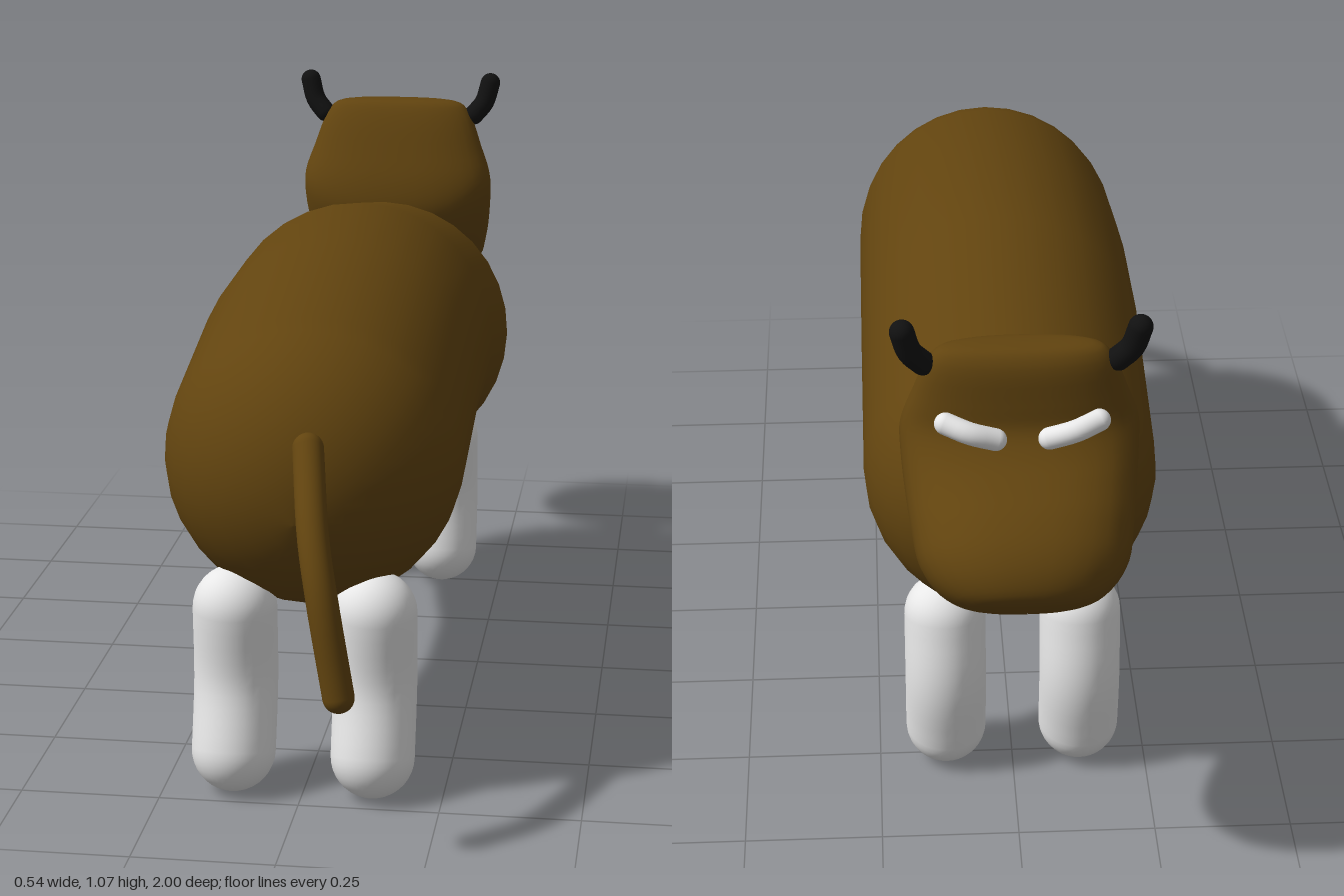
import * as THREE from 'three';

const SIDES = 32;
const V = (x, y, z) => new THREE.Vector3(x, y, z);

// Skin a list of rings {c, u, v}, optionally squared off by a power below 1
function loft(rings, power = 1) {
  const pos = [], index = [];
  const soft = (n) => Math.sign(n) * Math.pow(Math.abs(n), power);
  rings.forEach(({ c, u, v }, r) => {
    for (let i = 0; i < SIDES; i++) {
      const a = (i / SIDES) * Math.PI * 2;
      const p = c.clone().addScaledVector(u, soft(Math.cos(a))).addScaledVector(v, soft(Math.sin(a)));
      pos.push(p.x, p.y, p.z);
      if (r === rings.length - 1) continue;
      const j = (i + 1) % SIDES, lo = r * SIDES, hi = lo + SIDES;
      index.push(lo + i, lo + j, hi + j, lo + i, hi + j, hi + i);
    }
  });
  const g = new THREE.BufferGeometry();
  g.setAttribute('position', new THREE.Float32BufferAttribute(pos, 3));
  g.setIndex(index);
  g.computeVertexNormals();
  return g;
}

// Bent capsule: round ends, running through the given points
function bentCapsule(points, radius, ref = V(1, 0, 0), samples = 0) {
  const pts = samples ? new THREE.CatmullRomCurve3(points).getPoints(samples) : points;
  const n = pts.length - 1, rings = [];
  const tangent = (i) => pts[Math.min(i + 1, n)].clone().sub(pts[Math.max(i - 1, 0)]).normalize();
  const add = (c, t, r) => {
    const u = ref.clone().cross(t).normalize();
    const v = t.clone().cross(u);
    rings.push({ c, u: u.multiplyScalar(r), v: v.multiplyScalar(r) });
  };
  const steps = 9;
  const cap = (p, t, sign, k) => {
    const a = (k / steps) * Math.PI / 2;
    add(p.clone().addScaledVector(t, sign * radius * Math.cos(a)), t, Math.max(radius * Math.sin(a), 1e-4));
  };
  for (let k = 0; k < steps; k++) cap(pts[0], tangent(0), -1, k);
  pts.forEach((p, i) => add(p.clone(), tangent(i), radius));
  for (let k = steps - 1; k >= 0; k--) cap(pts[n], tangent(n), 1, k);
  return loft(rings);
}

export function createModel() {
  const model = new THREE.Group();
  model.name = 'cow';
  const material = (name, color) => {
    const m = new THREE.MeshStandardMaterial({ color });
    m.name = name;
    return m;
  };
  const brown = material('brown hide', 0x62440f);
  const white = material('white', 0xf4f4f4);
  const black = material('black horn', 0x111111);
  const add = (name, geometry, mat, parent = model) => {
    const mesh = new THREE.Mesh(geometry, mat);
    mesh.name = name;
    parent.add(mesh);
  };

  // Arched body
  add('body', bentCapsule([
    V(0, 0.585, 0.53), V(0, 0.648, 0.22), V(0, 0.653, -0.04), V(0, 0.58, -0.41),
  ], 0.268), brown);

  // Tail hanging off to one side
  add('tail', bentCapsule([
    V(0.027, 0.67, 0.79), V(0.052, 0.55, 0.905), V(0.073, 0.46, 0.953), V(0.104, 0.297, 0.975),
  ], 0.027, V(1, 0, 0), 14), brown);

  // Legs, slightly bent
  for (const [side, s] of [['left', -1], ['right', 1]]) {
    const x = 0.125 * s;
    add(side + 'HindLeg', bentCapsule([
      V(x, 0.335, 0.66), V(x, 0.2, 0.655), V(x, 0.075, 0.688)], 0.075, V(1, 0, 0), 10), white);
    add(side + 'ForeLeg', bentCapsule([
      V(x, 0.325, -0.505), V(x, 0.2, -0.524), V(x, 0.075, -0.505)], 0.075, V(1, 0, 0), 10), white);
  }

  const head = new THREE.Group();
  head.name = 'head';
  model.add(head);

  // Skull to muzzle: back z, back y, front z, front y, half width
  const sections = [
    [-0.735, 1.02, -0.736, 1.02, 0.001],
    [-0.702, 1.015, -0.765, 1.015, 0.12],
    [-0.68, 0.99, -0.782, 0.99, 0.155],
    [-0.645, 0.915, -0.79, 0.925, 0.182],
    [-0.617, 0.84, -0.797, 0.88, 0.202],
    [-0.612, 0.78, -0.83, 0.845, 0.203],
    [-0.65, 0.69, -0.875, 0.82, 0.197],
    [-0.72, 0.625, -0.925, 0.795, 0.188],
    [-0.785, 0.588, -0.968, 0.76, 0.176],
    [-0.85, 0.578, -0.992, 0.72, 0.145],
    [-0.91, 0.595, -0.996, 0.68, 0.095],
    [-0.965, 0.633, -0.966, 0.634, 0.001],
  ];
  // Smooth the section list with splines
  const curve = (f) => new THREE.CatmullRomCurve3(sections.map(f));
  const back = curve((s) => V(0, s[1], s[0])).points;
  const front = curve((s) => V(0, s[3], s[2])).points;
  const rings = [];
  const backC = new THREE.CatmullRomCurve3(back), frontC = new THREE.CatmullRomCurve3(front);
  const widthC = curve((s, i) => V(s[4], i, 0));
  for (let i = 0; i <= 44; i++) {
    const b = backC.getPoint(i / 44), f = frontC.getPoint(i / 44);
    rings.push({
      c: b.clone().add(f).multiplyScalar(0.5),
      u: V(Math.max(widthC.getPoint(i / 44).x, 0.001), 0, 0),
      v: b.clone().sub(f).multiplyScalar(0.5),
    });
  }
  add('skullAndMuzzle', loft(rings, 0.88), brown, head);

  // Horns and slanted eyes
  for (const [side, s] of [['left', -1], ['right', 1]]) {
    add(side + 'Horn', bentCapsule([
      V(0.163 * s, 0.985, -0.738), V(0.185 * s, 1.012, -0.747), V(0.197 * s, 1.053, -0.755),
    ], 0.021, V(0, 0, 1), 8), black, head);
    add(side + 'Eye', bentCapsule([
      V(0.045 * s, 0.873, -0.805), V(0.088 * s, 0.89, -0.812), V(0.128 * s, 0.902, -0.798),
    ], 0.019, V(0, 1, 0), 8), white, head);
  }
  return model;
}
